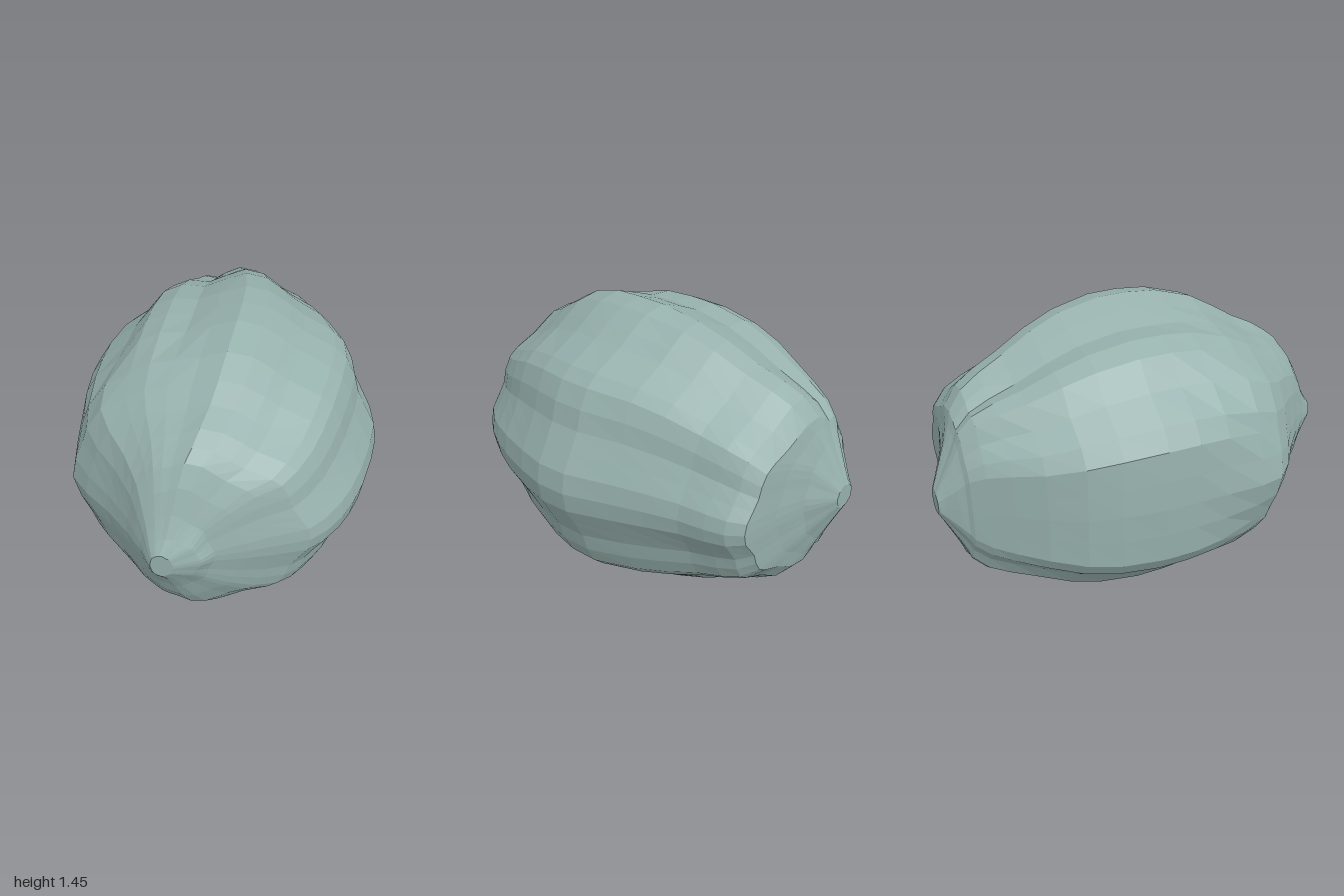
import * as THREE from 'three';

// Upper half of the lobed girth outline, from the left-hand ridge (+x) over the top
const OUTLINE = [
  [0.705, 0], [0.69, 0.1], [0.645, 0.19], [0.6, 0.28], [0.575, 0.375], [0.53, 0.465], [0.475, 0.515],
  [0.33, 0.595], [0.26, 0.645], [0.165, 0.705], [0.05, 0.725], [-0.07, 0.685], [-0.18, 0.64],
  [-0.3, 0.64], [-0.4, 0.595], [-0.5, 0.475], [-0.63, 0.375], [-0.69, 0.285], [-0.7, 0.14], [-0.705, 0],
];

// Stations from front to back: z, lowest x, highest x, half height
const STATIONS = [
  [1.0, -0.22, -0.12, 0.06], [0.96, -0.25, -0.01, 0.12], [0.915, -0.28, 0.04, 0.21],
  [0.87, -0.32, 0.17, 0.32], [0.82, -0.36, 0.3, 0.41], [0.77, -0.41, 0.43, 0.45],
  [0.7, -0.48, 0.5, 0.495], [0.6, -0.6, 0.565, 0.54], [0.5, -0.69, 0.61, 0.6],
  [0.38, -0.71, 0.65, 0.665], [0.2, -0.705, 0.69, 0.715], [0.05, -0.7, 0.71, 0.726],
  [-0.1, -0.695, 0.69, 0.725], [-0.3, -0.665, 0.6, 0.69], [-0.45, -0.62, 0.535, 0.635],
  [-0.6, -0.54, 0.475, 0.56], [-0.72, -0.455, 0.445, 0.51], [-0.81, -0.39, 0.415, 0.46],
  [-0.875, -0.34, 0.36, 0.38], [-0.89, -0.32, 0.17, 0.33], [-0.92, -0.3, 0.01, 0.25],
  [-0.97, -0.26, -0.08, 0.13], [-1.0, -0.24, -0.13, 0.06],
];
const MID_Y = 0.726;

// Full closed outline in unit size: the lower half mirrors the upper
function unitOutline() {
  const lower = OUTLINE.slice(1, -1).reverse().map(([x, y]) => [x, -y]);
  return [...OUTLINE, ...lower].map(([x, y]) => [x / 0.705, y / 0.725]);
}

// Factor on an outline point: furrows deepen towards the ends, and on the
// right-hand front shoulder (-x) ridges and furrows trade places
function relief(px, py, z) {
  const rho = Math.hypot(px, py);
  const furrowed = 1 + z * z * (1 - z * z) * (rho - 0.99);
  const shoulder = (0.98 - 0.02 * Math.cos(9 * Math.atan2(py, px))) / rho;
  const side = THREE.MathUtils.smoothstep(-px, 0, 0.5);
  return THREE.MathUtils.lerp(furrowed, shoulder, side * THREE.MathUtils.smoothstep(z, 0.05, 0.5));
}

function buildBody() {
  const ring = unitOutline();
  const n = ring.length;
  const pos = [];
  const index = [];

  for (const [z, lo, hi, h] of STATIONS) {
    const cx = -0.18 * z * z; // axis bends to one side at both ends
    for (const [px, py] of ring) {
      const s = relief(px, py, z);
      const half = px > 0 ? hi - cx : cx - lo;
      pos.push(cx + px * half * s, MID_Y + py * h * s, z);
    }
  }

  // Skin between neighbouring stations
  for (let i = 0; i < STATIONS.length - 1; i++) {
    for (let j = 0; j < n; j++) {
      const k = (j + 1) % n;
      const a = i * n + j, b = a + n, c = (i + 1) * n + k, d = i * n + k;
      index.push(a, b, d, b, c, d);
    }
  }

  // Small end caps
  const front = pos.length / 3;
  pos.push(-0.17, MID_Y, 1.0, -0.18, MID_Y, -1.0);
  const last = (STATIONS.length - 1) * n;
  for (let j = 0; j < n; j++) {
    const k = (j + 1) % n;
    index.push(front, j, k, front + 1, last + k, last + j);
  }

  const geo = new THREE.BufferGeometry();
  geo.setAttribute('position', new THREE.Float32BufferAttribute(pos, 3));
  geo.setIndex(index);
  const flat = geo.toNonIndexed();
  flat.computeVertexNormals();
  return flat;
}

export function createModel() {
  const group = new THREE.Group();
  group.name = 'furrowedStone';
  const stone = new THREE.MeshStandardMaterial({ color: 0x96b0ac });
  stone.name = 'greyGreenStone';
  stone.flatShading = true;
  const body = new THREE.Mesh(buildBody(), stone);
  body.name = 'stoneBody';
  group.add(body);
  return group;
}
